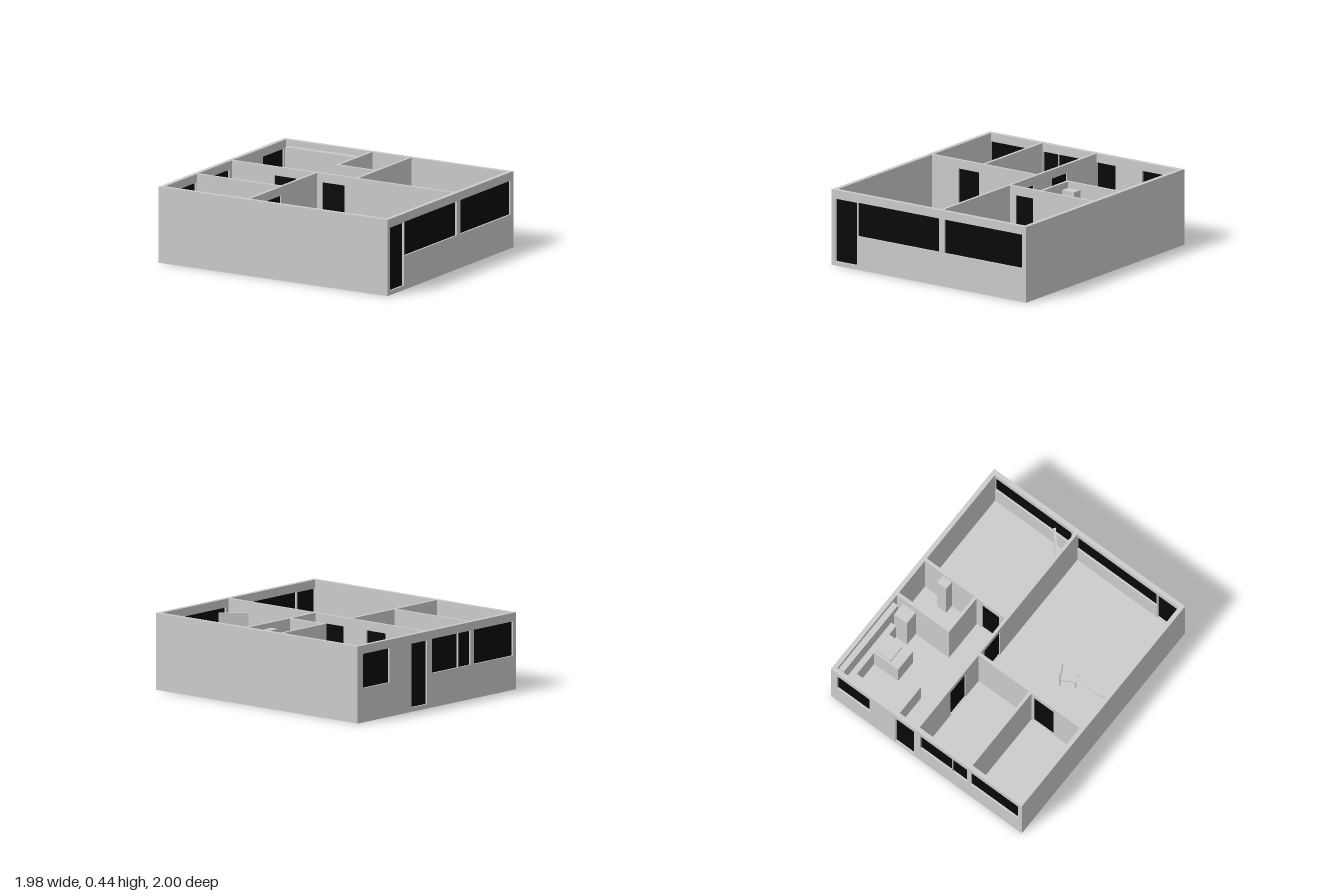
import * as THREE from 'three';

const W = 0.667, L = 0.744, H = 0.435;   // half width, half length, wall height
const OUT = 0.026, IN = 0.018;           // outer and inner wall thickness

const grey = new THREE.MeshStandardMaterial({ color: 0xcccccc });
const black = new THREE.MeshStandardMaterial({ color: 0x080808 });

function add(parent, name, geometry, material = grey) {
  const mesh = new THREE.Mesh(geometry, material);
  mesh.name = name;
  parent.add(mesh);
  return mesh;
}

// Box given by its extents on each axis
function block(parent, name, [x0, x1], [y0, y1], [z0, z1], material = grey) {
  const mesh = add(parent, name, new THREE.BoxGeometry(x1 - x0, y1 - y0, z1 - z0), material);
  mesh.position.set((x0 + x1) / 2, (y0 + y1) / 2, (z0 + z1) / 2);
  return mesh;
}

const door = (a, b) => [a, b, 0.025, 0.385];
const pane = (a, b) => [a, b, 0.193, 0.387];

// Wall along x or z with openings, each closed by a dark panel set in mid-thickness
function wall(parent, name, axis, at, from, to, t, openings = []) {
  const group = new THREE.Group();
  group.name = name;
  const shape = new THREE.Shape([
    new THREE.Vector2(from, 0), new THREE.Vector2(to, 0),
    new THREE.Vector2(to, H), new THREE.Vector2(from, H)]);
  for (const [a, b, y0, y1] of openings) {
    shape.holes.push(new THREE.Path([
      new THREE.Vector2(a, y0), new THREE.Vector2(a, y1),
      new THREE.Vector2(b, y1), new THREE.Vector2(b, y0)]));
    block(group, y0 < 0.1 ? 'doorPanel' : 'windowPane', [a, b], [y0, y1], [-0.002, 0.002], black);
  }
  const geometry = new THREE.ExtrudeGeometry(shape, { depth: t, bevelEnabled: false });
  geometry.translate(0, 0, -t / 2);
  add(group, 'wallBody', geometry);
  if (axis === 'z') {
    group.rotation.y = -Math.PI / 2;
    group.position.x = at;
  } else {
    group.position.z = at;
  }
  parent.add(group);
}

function buildWalls(house) {
  const zo = L - OUT / 2, xo = W - OUT / 2, zi = L - OUT, xi = W - OUT;
  wall(house, 'frontWall', 'x', zo, -W, W, OUT,
    [door(-0.64, -0.495), pane(-0.488, 0.068), pane(0.106, 0.638)]);
  wall(house, 'backWall', 'x', -zo, -W, W, OUT,
    [pane(-0.64, -0.311), pane(-0.283, -0.182), pane(-0.178, 0.043), door(0.085, 0.214), pane(0.397, 0.623)]);
  wall(house, 'leftWall', 'z', xo, -zi, zi, OUT);
  wall(house, 'rightWall', 'z', -xo, -zi, zi, OUT);

  // Partitions
  wall(house, 'longPartition', 'z', 0.075, -zi, zi, IN, [door(-0.44, -0.3), door(-0.13, 0.015)]);
  wall(house, 'bedroomPartition', 'z', -0.295, -zi, -0.181, IN);
  wall(house, 'livingRoomPartition', 'x', -0.172, -xi, 0.066, IN, [door(-0.457, -0.319)]);
  wall(house, 'studyPartition', 'x', 0.088, 0.084, xi, IN, [door(0.124, 0.242)]);
  wall(house, 'bathroomPartition', 'x', -0.165, 0.279, xi, IN);
  wall(house, 'bathroomSidePartition', 'z', 0.288, -0.156, 0.079, IN);
}

function buildKitchen(house) {
  const kitchen = new THREE.Group();
  kitchen.name = 'kitchen';
  const base = [0.02, 0.2];
  block(kitchen, 'backCounter', [0.36, 0.641], base, [-0.718, -0.611]);
  block(kitchen, 'counterLeg', [0.257, 0.36], base, [-0.718, -0.456]);
  block(kitchen, 'sideCounter', [0.586, 0.641], base, [-0.611, -0.255]);
  block(kitchen, 'stove', [0.42, 0.586], base, [-0.455, -0.318]);
  block(kitchen, 'stoveTop', [0.481, 0.582], [0.2, 0.215], [-0.442, -0.332]);
  block(kitchen, 'wallCabinet', [0.607, 0.641], [0.26, 0.4], [-0.702, -0.21]);
  block(kitchen, 'tallCupboard', [0.511, 0.6], [0.02, 0.365], [-0.255, -0.174]);
  house.add(kitchen);
}

function buildBathroom(house) {
  const bath = new THREE.Group();
  bath.name = 'bathroom';
  block(bath, 'tallCabinet', [0.3, 0.384], [0.02, 0.4], [-0.156, -0.095]);
  block(bath, 'lowSeat', [0.32, 0.384], [0.02, 0.14], [-0.095, -0.035]);
  block(bath, 'washUnit', [0.421, 0.515], [0.02, 0.2], [-0.145, -0.052]);
  block(bath, 'narrowCabinet', [0.453, 0.517], [0.02, 0.405], [0.028, 0.079]);
  house.add(bath);
}

function buildLivingRoom(house) {
  // Oval table on a pedestal
  const table = new THREE.Group();
  table.name = 'ovalTable';
  table.position.set(-0.505, 0.02, 0.214);
  const top = add(table, 'tableTop', new THREE.CylinderGeometry(1, 1, 0.012, 48));
  top.scale.set(0.134, 1, 0.104);
  top.position.y = 0.144;
  add(table, 'tablePost', new THREE.CylinderGeometry(0.012, 0.012, 0.14, 16)).position.y = 0.07;
  add(table, 'tableFoot', new THREE.CylinderGeometry(0.05, 0.055, 0.01, 24)).position.y = 0.005;
  house.add(table);

  // Slatted chair
  const chair = new THREE.Group();
  chair.name = 'chair';
  chair.position.set(-0.332, 0.02, 0.122);
  chair.rotation.y = -0.36 - house.rotation.y;
  block(chair, 'seat', [-0.036, 0.036], [0.085, 0.095], [-0.04, 0.05]);
  for (const x of [-0.03, 0.03]) {
    block(chair, 'frontLeg', [x - 0.005, x + 0.005], [0, 0.086], [0.037, 0.047]);
    block(chair, 'backPost', [x - 0.005, x + 0.005], [0, 0.19], [-0.05, -0.04]);
  }
  for (let i = -2; i <= 2; i++) {
    block(chair, 'backSlat', [i * 0.01 - 0.003, i * 0.01 + 0.003], [0.09, 0.18], [-0.048, -0.042]);
  }
  block(chair, 'backRail', [-0.036, 0.036], [0.178, 0.192], [-0.051, -0.039]);
  house.add(chair);
}

// Screen fixed at an angle to the long partition
function buildScreen(house) {
  const screen = add(house, 'wallScreen', new THREE.BoxGeometry(0.166, 0.115, 0.014));
  screen.position.set(0.147, 0.317, 0.627);
  screen.rotation.y = -Math.atan2(0.125, 0.115);
}

export function createModel() {
  const model = new THREE.Group();
  model.name = 'apartment';
  const house = new THREE.Group();
  house.name = 'house';
  house.rotation.y = 0.711;
  model.add(house);

  block(house, 'floor', [-W + 0.002, W - 0.002], [0, 0.02], [-L + 0.002, L - 0.002]);
  buildWalls(house);
  buildKitchen(house);
  buildBathroom(house);
  buildLivingRoom(house);
  buildScreen(house);
  return model;
}
